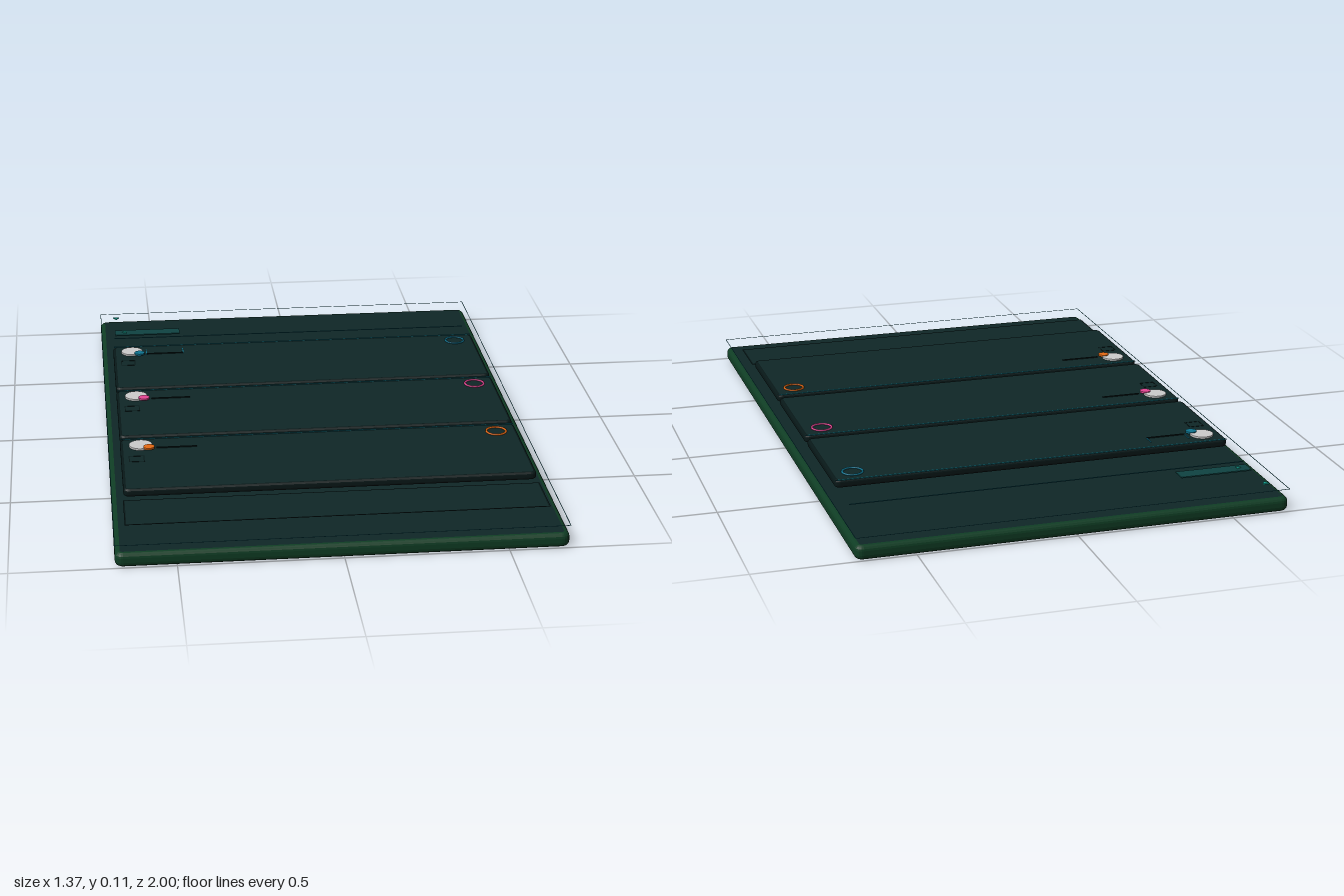
import * as THREE from 'three';

const mat = (name, color) => {
  const m = new THREE.MeshStandardMaterial({ color });
  m.name = name;
  return m;
};

export function createModel() {
  const panelDark = mat('panel dark', 0x0f2727);
  const frameGreen = mat('frame green', 0x0f3d24);
  const edgeDark = mat('edge dark', 0x071717);
  const deepTeal = mat('deep teal', 0x0f4342);
  const lineTeal = mat('line teal', 0x0b5560);
  const brightTeal = mat('bright teal', 0x14a594);
  const avatarGrey = mat('avatar grey', 0xcdcdcd);
  const blue = mat('blue accent', 0x0e7490);
  const pink = mat('pink accent', 0xec4899);
  const orange = mat('orange accent', 0xf97316);

  const root = new THREE.Group();
  root.name = 'displayPanel';

  const add = (parent, name, geometry, material, x, y, z) => {
    const mesh = new THREE.Mesh(geometry, material);
    mesh.name = name;
    mesh.position.set(x, y, z);
    parent.add(mesh);
    return mesh;
  };
  const bar = (parent, name, w, h, d, material, x, y, z) =>
    add(parent, name, new THREE.BoxGeometry(w, h, d), material, x, y, z);

  // Flat slab with rounded corners and a rounded rim, resting on its own y = 0
  const slab = (w, d, h, r, bevel) => {
    const x = w / 2 - bevel, y = d / 2 - bevel;
    const s = new THREE.Shape();
    s.moveTo(-x + r, -y);
    s.lineTo(x - r, -y);
    s.quadraticCurveTo(x, -y, x, -y + r);
    s.lineTo(x, y - r);
    s.quadraticCurveTo(x, y, x - r, y);
    s.lineTo(-x + r, y);
    s.quadraticCurveTo(-x, y, -x, y - r);
    s.lineTo(-x, -y + r);
    s.quadraticCurveTo(-x, -y, -x + r, -y);
    const g = new THREE.ExtrudeGeometry(s, {
      depth: h - 2 * bevel, bevelEnabled: true, bevelSize: bevel,
      bevelThickness: bevel, bevelSegments: 4, curveSegments: 5,
    });
    g.translate(0, 0, bevel);
    g.rotateX(-Math.PI / 2);
    return g;
  };

  // Four thin bars around a rectangle
  const outline = (parent, name, w, d, t, material, x, y, z) => {
    const g = new THREE.Group();
    g.name = name;
    g.position.set(x, y, z);
    for (const s of [-1, 1]) {
      bar(g, name + 'Rail', w, 0.001, t, material, 0, 0, s * (d - t) / 2);
      bar(g, name + 'Side', t, 0.001, d, material, s * (w - t) / 2, 0, 0);
    }
    parent.add(g);
  };

  const disc = (parent, name, r, h, material, x, y, z) =>
    add(parent, name, new THREE.CylinderGeometry(r, r, h, 32), material, x, y, z);

  // Base slab and the fine outline hovering above it
  add(root, 'baseSlab', slab(1.37, 2, 0.046, 0.01, 0.016), [panelDark, frameGreen], 0, 0, 0);
  outline(root, 'hoverOutline', 1.37, 1.998, 0.002, lineTeal, 0, 0.073, 0);

  // Header: arrow, button with its pointer, and a divider
  const header = new THREE.Group();
  header.name = 'header';
  root.add(header);
  const arrow = (name, z, x, r, turn) => {
    const g = new THREE.CylinderGeometry(r, r, 0.004, 3);
    g.rotateY(turn);
    add(header, name, g, brightTeal, x, 0.077, z);
  };
  arrow('menuArrow', -0.94, -0.628, 0.013, 0);
  arrow('buttonArrow', -0.79, -0.6, 0.01, -Math.PI / 2);
  bar(header, 'button', 0.235, 0.004, 0.05, deepTeal, -0.518, 0.074, -0.79);
  bar(header, 'divider', 1.28, 0.002, 0.004, lineTeal, 0, 0.074, -0.735);

  // Three raised cards with a portrait disc, status dot, title line and ring
  const cardGeometry = slab(1.295, 0.4, 0.026, 0.01, 0.009);
  const ringGeometry = new THREE.TorusGeometry(0.032, 0.0035, 8, 40).rotateX(Math.PI / 2);
  [blue, pink, orange].forEach((accent, i) => {
    const card = new THREE.Group();
    card.name = 'card' + (i + 1);
    card.position.set(0, 0.071, -0.39 + i * 0.422);
    root.add(card);
    add(card, 'cardBody', cardGeometry, [panelDark, edgeDark], 0, 0, 0);
    bar(card, 'topLine', 1.29, 0.002, 0.006, lineTeal, 0, 0.026, -0.197);
    disc(card, 'portraitDisc', 0.037, 0.006, avatarGrey, -0.582, 0.029, -0.138);
    disc(card, 'statusDot', 0.018, 0.006, accent, -0.556, 0.032, -0.112);
    bar(card, 'titleLine', 0.13, 0.003, 0.005, edgeDark, -0.466, 0.0275, -0.117);
    add(card, 'statusRing', ringGeometry, accent, 0.578, 0.028, -0.138);
    outline(card, 'checkBox', 0.05, 0.046, 0.003, edgeDark, -0.598, 0.0265, -0.035);
    if (i === 0) {
      for (const x of [-0.531, -0.401]) bar(card, 'titleTick', 0.003, 0.002, 0.045, blue, x, 0.027, -0.135);
    }
  });

  // Thin footer strip
  bar(root, 'footer', 1.29, 0.003, 0.17, panelDark, 0, 0.0725, 0.77);
  outline(root, 'footerOutline', 1.3, 0.178, 0.005, edgeDark, 0, 0.0735, 0.77);

  return root;
}
